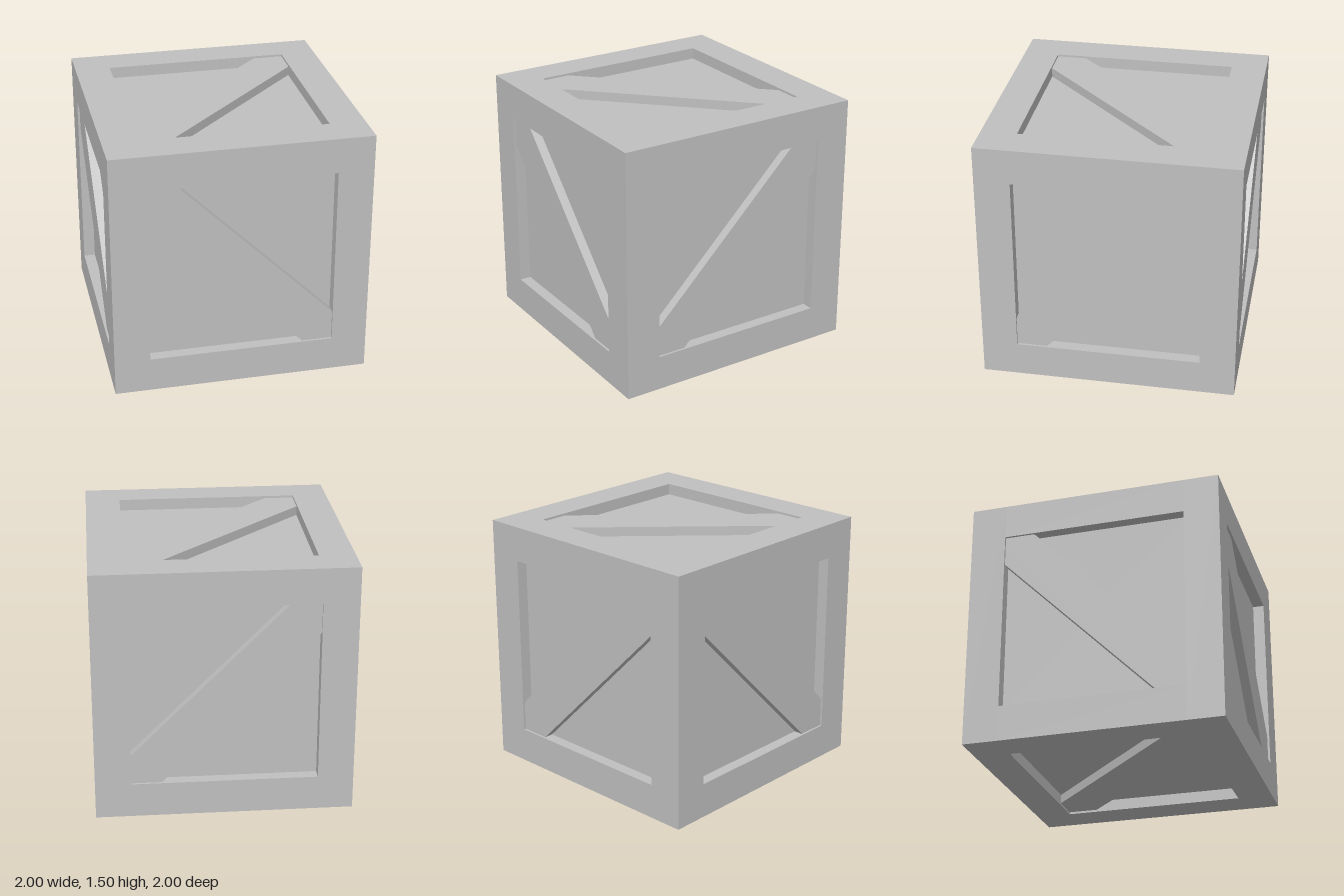
import * as THREE from 'three';

const SIZE = 1.498;      // edge of the cube
const BEAM = 0.208;      // width of the frame beams
const RECESS = 0.068;    // depth of the panels below the frame
const BRACE_TOP = 0.013; // depth of the brace face below the frame
const CUT = 0.177;       // where a brace leaves its corner along each edge

export function createModel() {
  const grey = new THREE.MeshStandardMaterial({ color: 0xc0c0c0 });
  grey.name = 'crateGrey';
  const crate = new THREE.Group();
  crate.name = 'crate';

  const half = SIZE / 2;
  const inner = half - BEAM;
  const mid = half - BEAM / 2;

  const addBox = (name, w, h, d, x, y, z) => {
    const mesh = new THREE.Mesh(new THREE.BoxGeometry(w, h, d), grey);
    mesh.name = name;
    mesh.position.set(x, y, z);
    crate.add(mesh);
  };

  // Core whose faces are the recessed panels
  const core = SIZE - 2 * RECESS;
  addBox('panelCore', core, core, core, 0, 0, 0);

  // Frame: four posts, with rails between them at top and bottom
  for (const a of [-1, 1]) {
    for (const b of [-1, 1]) {
      addBox('cornerPost', BEAM, SIZE, BEAM, a * mid, 0, b * mid);
      addBox('railAcross', inner * 2, BEAM, BEAM, 0, a * mid, b * mid);
      addBox('railDeep', BEAM, BEAM, inner * 2, a * mid, b * mid, 0);
    }
  }

  // Diagonal brace, upper left to lower right when dir = 1, mirrored when -1
  const braceGeometry = (dir) => {
    const outline = [
      [-inner, inner], [-inner, inner - CUT], [inner - CUT, -inner],
      [inner, -inner], [inner, -inner + CUT], [-inner + CUT, inner],
    ].map(([x, y]) => new THREE.Vector2(x * dir, y));
    const geometry = new THREE.ExtrudeGeometry(new THREE.Shape(outline), {
      depth: RECESS - BRACE_TOP, bevelEnabled: false,
    });
    return geometry.translate(0, 0, half - RECESS);
  };

  // One brace per face: name, rotation about x, rotation about y, direction
  const q = Math.PI / 2;
  const faces = [
    ['frontBrace', 0, 0, 1],
    ['leftBrace', 0, q, 1],
    ['backBrace', 0, 2 * q, -1],
    ['rightBrace', 0, -q, -1],
    ['topBrace', -q, 0, 1],
    ['bottomBrace', q, 0, -1],
  ];
  for (const [name, rx, ry, dir] of faces) {
    const brace = new THREE.Mesh(braceGeometry(dir), grey);
    brace.name = name;
    brace.rotation.set(rx, ry, 0);
    crate.add(brace);
  }

  // Crate stands on the ground, turned about the vertical
  crate.position.y = half;
  crate.rotation.y = -Math.atan2(0.65, 1.35);

  const model = new THREE.Group();
  model.name = 'crateModel';
  model.add(crate);
  return model;
}
